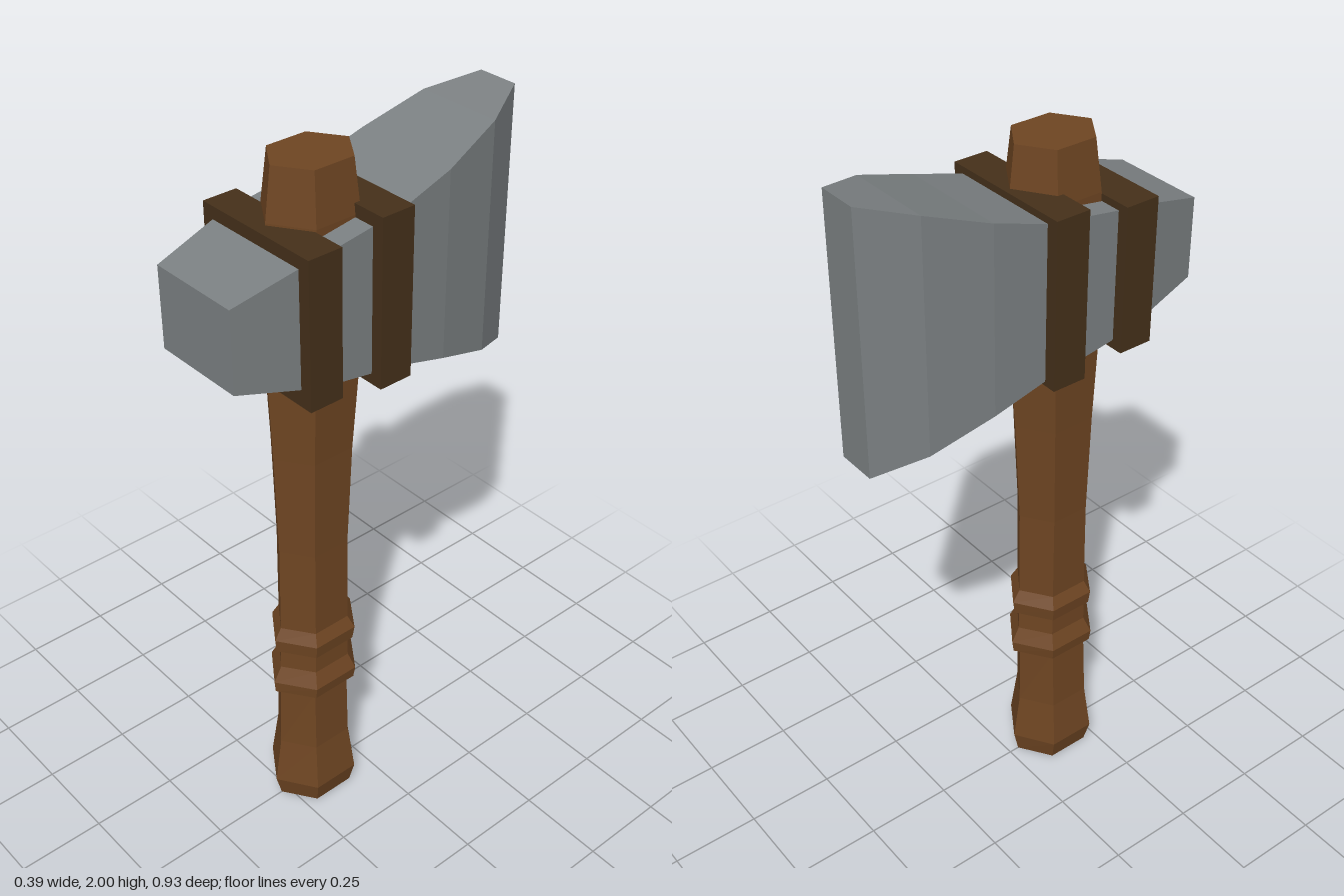
import * as THREE from 'three';

const material = (color) => new THREE.MeshStandardMaterial({ color, flatShading: true });

// Joins equal-length rings of points into a closed, faceted solid.
// Rings run counter-clockwise when seen from the end of the loft.
function loft(rings) {
  const n = rings[0].length;
  const pos = [];
  const tri = (a, b, c) => pos.push(...a, ...b, ...c);
  for (let r = 0; r < rings.length - 1; r++) {
    const a = rings[r], b = rings[r + 1];
    for (let i = 0; i < n; i++) {
      const j = (i + 1) % n;
      tri(a[i], a[j], b[j]);
      tri(a[i], b[j], b[i]);
    }
  }
  const first = rings[0], last = rings[rings.length - 1];
  for (let i = 1; i < n - 1; i++) {
    tri(first[0], first[i + 1], first[i]);
    tri(last[0], last[i], last[i + 1]);
  }
  const geometry = new THREE.BufferGeometry();
  geometry.setAttribute('position', new THREE.Float32BufferAttribute(pos, 3));
  geometry.computeVertexNormals();
  return geometry;
}

// Hexagon with corners to front and back
function hexRing([y, halfX, zBack, zFront]) {
  const mid = (zBack + zFront) / 2, half = (zFront - zBack) / 2;
  return Array.from({ length: 6 }, (_, i) => {
    const a = (i * Math.PI) / 3;
    return [(halfX * Math.sin(a)) / Math.sin(Math.PI / 3), y, mid + half * Math.cos(a)];
  });
}

// Upright rectangle across the head
const rectRing = ([z, halfX, y0, y1]) => [
  [halfX, y0, z], [halfX, y1, z], [-halfX, y1, z], [-halfX, y0, z],
];

export function createModel() {
  const group = new THREE.Group();
  const wood = material(0x6e4522);
  const steel = material(0x7b8082);
  const leather = material(0x45301a);

  const add = (name, geometry, mat) => {
    const mesh = new THREE.Mesh(geometry, mat);
    mesh.name = name;
    group.add(mesh);
    return mesh;
  };

  // Handle with flared foot and two grip rings: y, half width, back z, front z
  add('handle', loft([
    [0, 0.09, 0.03, 0.275],
    [0.065, 0.105, 0.015, 0.292],
    [0.21, 0.087, 0.035, 0.27],
    [0.415, 0.08, 0.035, 0.263],
    [0.415, 0.095, 0.012, 0.282],
    [0.45, 0.1, 0.007, 0.285],
    [0.495, 0.081, 0.03, 0.26],
    [0.56, 0.08, 0.032, 0.258],
    [0.56, 0.092, 0.016, 0.273],
    [0.6, 0.097, 0.01, 0.277],
    [0.635, 0.08, 0.032, 0.256],
    [0.9, 0.08, 0.032, 0.252],
    [1.2, 0.088, 0.016, 0.26],
    [1.45, 0.1, -0.005, 0.27],
    [1.85, 0.1, -0.005, 0.258],
    [1.985, 0.085, 0.01, 0.24],
  ].map(hexRing)), wood);

  // Head from blade edge to hammer face: z, half width, bottom y, top y
  add('axeHead', loft([
    [-0.465, 0.057, 1.29, 2.0],
    [-0.335, 0.123, 1.335, 1.965],
    [-0.165, 0.154, 1.395, 1.905],
    [-0.01, 0.16, 1.44, 1.857],
    [0.2, 0.16, 1.475, 1.825],
    [0.285, 0.156, 1.495, 1.812],
    [0.465, 0.133, 1.545, 1.765],
  ].map(rectRing)), steel);

  // Straps around the head: z range, half width, y range
  for (const [name, z0, z1, halfX, y0, y1] of [
    ['backStrap', -0.018, 0.078, 0.193, 1.425, 1.878],
    ['frontStrap', 0.194, 0.29, 0.19, 1.45, 1.845],
  ]) {
    const strap = add(name, new THREE.BoxGeometry(halfX * 2, y1 - y0, z1 - z0), leather);
    strap.position.set(0, (y0 + y1) / 2, (z0 + z1) / 2);
  }

  return group;
}
